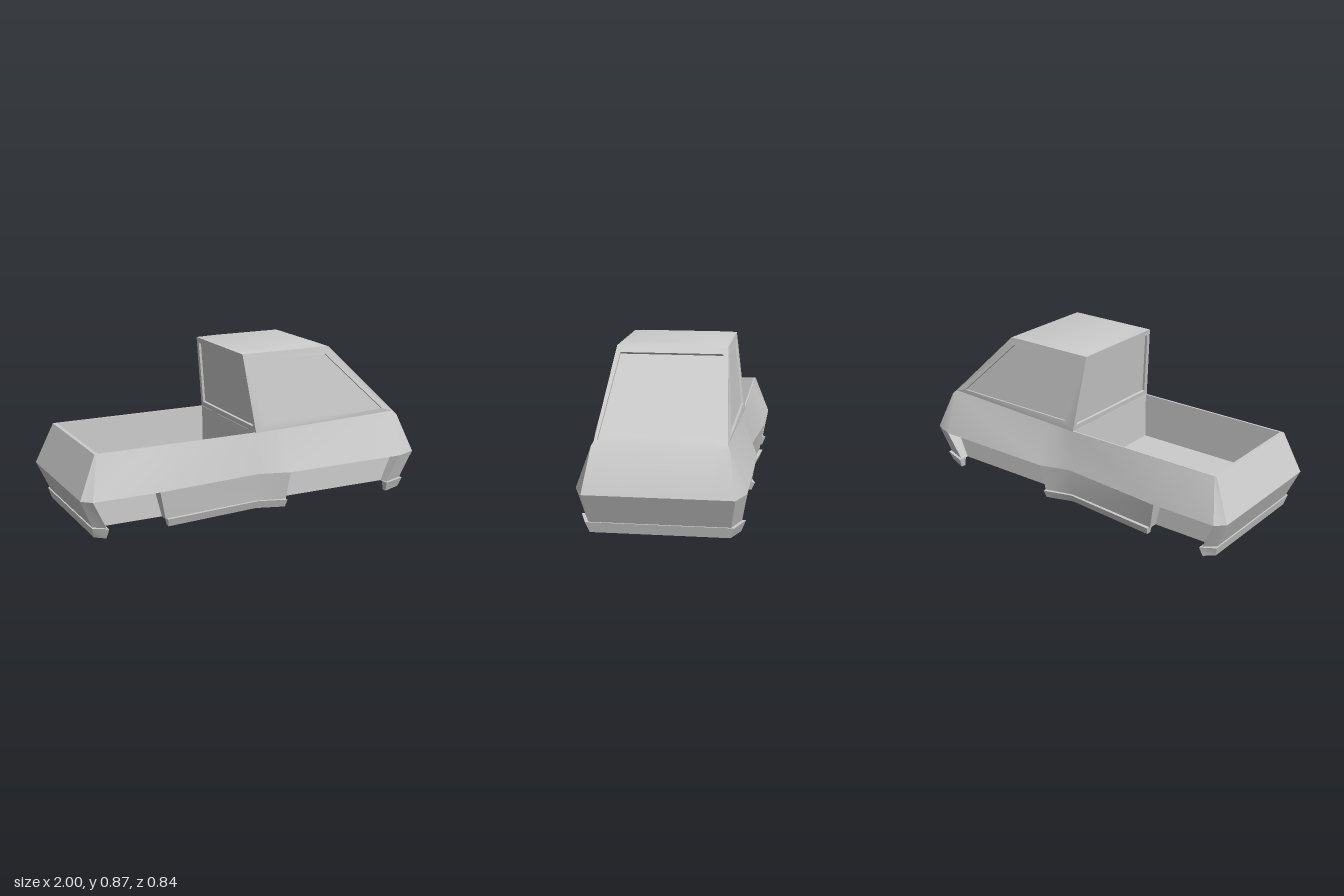
import * as THREE from 'three';
import { toCreasedNormals } from 'three/addons/utils/BufferGeometryUtils.js';

const material = new THREE.MeshStandardMaterial({ color: 0xcccccc, side: THREE.DoubleSide });
const flip = ([x, y, z]) => [x, y, -z];
const V = (p) => new THREE.Vector3(...p);

// Skin between rows of points; row order bottom to top with points running left to right faces outward
function loft(rows) {
  const out = [];
  const tri = (a, b, c) => {
    const n = V(b).sub(V(a)).cross(V(c).sub(V(a)));
    if (n.length() > 1e-7) out.push(...a, ...b, ...c);
  };
  for (let i = 0; i < rows.length - 1; i++) {
    for (let j = 0; j < rows[i].length - 1; j++) {
      const a = rows[i][j], b = rows[i][j + 1], c = rows[i + 1][j + 1], d = rows[i + 1][j];
      tri(a, b, c);
      tri(a, c, d);
    }
  }
  return out;
}

// Solid swept through four-cornered sections, with end caps
function sweep(sections) {
  const first = sections[0], last = sections[sections.length - 1];
  return [
    ...loft(sections.map((s) => [...s, s[0]])),
    ...loft([[first[0], first[3]], [first[1], first[2]]]),
    ...loft([[last[0], last[1]], [last[3], last[2]]]),
  ];
}

// Frame around a recessed pane; corners run anticlockwise seen from outside
function framedPane(outer, inner, depth) {
  const n = V(inner[1]).sub(V(inner[0])).cross(V(inner[3]).sub(V(inner[0]))).normalize();
  const pane = inner.map((p) => V(p).addScaledVector(n, -depth).toArray());
  const ring = (r) => [...r, r[0]];
  return {
    frame: loft([ring(outer), ring(inner), ring(pane)]),
    pane: loft([[pane[0], pane[1]], [pane[3], pane[2]]]),
  };
}

export function createModel() {
  const model = new THREE.Group();
  const add = (name, positions, crease = 0.5) => {
    const g = new THREE.BufferGeometry();
    g.setAttribute('position', new THREE.Float32BufferAttribute(positions, 3));
    const mesh = new THREE.Mesh(toCreasedNormals(g, crease), material);
    mesh.name = name;
    model.add(mesh);
  };
  const mirror = (positions) => {
    const out = [];
    for (let i = 0; i < positions.length; i += 9) {
      const p = positions.slice(i, i + 9);
      for (const k of [0, 6, 3]) out.push(p[k], p[k + 1], -p[k + 2]);
    }
    return out;
  };
  const addPair = (name, positions) => {
    add(name + 'Right', positions);
    add(name + 'Left', mirror(positions));
  };

  // Body sides from the belt line up to the shoulder
  const cowl = [0.885, 0.45, 0.325], noseTop = [0.905, 0.43, 0.335], noseBelt = [1, 0.21, 0.37];
  const tailTop = [-0.905, 0.43, 0.337], tailBelt = [-1, 0.21, 0.375];
  const belt = [tailBelt, [-0.95, 0.21, 0.42], [-0.6, 0.21, 0.42], [0, 0.21, 0.37],
    [0.17, 0.21, 0.42], [0.88, 0.21, 0.42], noseBelt];
  const shoulder = [tailTop, [-0.895, 0.43, 0.34], [-0.6, 0.43, 0.34], [0, 0.43, 0.34],
    [0.17, 0.434, 0.337], cowl, noseTop];
  addPair('bodySide', loft([belt, shoulder]));

  // Arch roofs, tucked in under the belt line
  addPair('archRoof', loft([belt.map(([x, y]) => [x * 0.96, y, 0.33]), belt]));

  // Nose and tailgate
  const across = (p, q) => [p, q, flip(q), flip(p)];
  add('nose', loft([
    across(noseBelt, [1, 0.21, 0.25]),
    across(noseTop, [0.905, 0.435, 0.25]),
    across(cowl, [0.859, 0.475, 0.25]),
  ]), 0.7);
  add('tailgate', loft([[flip(tailBelt), tailBelt], [flip(tailTop), tailTop]]));

  // Open load bed
  const rect = (x0, x1, y, z) => [[x0, y, z], [x1, y, z], [x1, y, -z], [x0, y, -z], [x0, y, z]];
  add('bedLiner', loft([rect(-0.905, 0, 0.43, 0.338), rect(-0.885, -0.002, 0.43, 0.328), rect(-0.885, -0.002, 0.17, 0.328)]));
  add('bedFloor', loft([[[-0.885, 0.17, 0.328], [0, 0.17, 0.328]], [[-0.885, 0.17, -0.328], [0, 0.17, -0.328]]]));

  // Cab: side windows, windscreen and rear window
  const roofBack = [-0.055, 0.85, 0.285], roofFront = [0.47, 0.85, 0.285], cabFoot = [0, 0.43, 0.34];
  const sideZ = (y) => 0.34 - (y - 0.43) * 0.131;
  const sideWindow = framedPane(
    [cabFoot, cowl, roofFront, roofBack],
    [[0.06, 0.475], [0.805, 0.475], [0.45, 0.81], [-0.01, 0.81]].map(([x, y]) => [x, y, sideZ(y)]), 0.012);
  addPair('cabSide', sideWindow.frame);
  addPair('sideWindow', sideWindow.pane);

  const screenPoint = (y, z) => [0.47 + (0.85 - y) * 1.0375, y, z];
  const screen = framedPane(
    [cowl, flip(cowl), flip(roofFront), roofFront],
    [screenPoint(0.455, 0.31), screenPoint(0.455, -0.31), screenPoint(0.82, -0.263), screenPoint(0.82, 0.263)], 0.014);
  add('windscreenFrame', screen.frame);
  add('windscreen', screen.pane);

  const rearPoint = (y, z) => [-0.055 + (0.85 - y) * 0.131, y, z];
  const rear = framedPane(
    [flip(cabFoot), cabFoot, roofBack, flip(roofBack)],
    [rearPoint(0.46, -0.31), rearPoint(0.46, 0.31), rearPoint(0.82, 0.265), rearPoint(0.82, -0.265)], 0.014);
  add('rearWindowFrame', rear.frame);
  add('rearWindow', rear.pane);

  // Roof with a shallow bevelled edge
  add('roof', [
    ...loft([rect(-0.055, 0.47, 0.85, 0.285), rect(0.03, 0.43, 0.865, 0.225)]),
    ...loft([[[0.03, 0.865, 0.225], [0.43, 0.865, 0.225]], [[0.03, 0.865, -0.225], [0.43, 0.865, -0.225]]]),
  ]);

  // Underbody tray, which also forms the arch inner walls
  add('underbody', loft([
    [[-0.97, 0.21, -0.34], [0.95, 0.21, -0.34]],
    [[-0.92, 0.05, -0.34], [0.91, 0.05, -0.34]],
    [[-0.92, 0.05, 0.34], [0.91, 0.05, 0.34]],
    [[-0.97, 0.21, 0.34], [0.95, 0.21, 0.34]],
  ]));

  // Section from outer top, outer bottom and inner points given as [x, z]
  const section = (yTop, yBottom, top, bottom, innerBottom, innerTop) => [
    [top[0], yTop, top[1]], [bottom[0], yBottom, bottom[1]],
    [innerBottom[0], yBottom, innerBottom[1]], [innerTop[0], yTop, innerTop[1]],
  ];

  // Sill panels between the arches, each with a protruding lip
  const sill = [[-0.59, -0.55, 0.42, 0.39], [0, 0, 0.37, 0.347], [0.17, 0.158, 0.42, 0.39]];
  addPair('sillPanel', sweep(sill.map(([xt, xb, zt, zb]) =>
    section(0.21, 0.05, [xt, zt], [xb, zb], [xb, 0.33], [xt, 0.33]))));
  const sillLip = [[-0.545, -0.535, 0.41], [0, 0, 0.362], [0.158, 0.152, 0.41]];
  addPair('sillLip', sweep(sillLip.map(([xt, xb, z]) =>
    section(0.054, 0.01, [xt, z], [xb, z - 0.018], [xb, z - 0.045], [xt, z - 0.045]))));

  // Front and rear valances wrapping the corners, with bumper lips
  const wrap = (name, s, archTop, archBottom) => {
    const a = section(0.21, 0.05, [s * archTop, 0.42], [s * archBottom, 0.39], [s * archBottom, 0.34], [s * archTop, 0.34]);
    const b = section(0.21, 0.05, [s, 0.372], [s * 0.93, 0.347], [s * 0.9, 0.325], [s * 0.95, 0.33]);
    const la = section(0.055, 0, [s * (archBottom - 0.005), 0.41], [s * (archBottom + 0.004), 0.388],
      [s * (archBottom + 0.004), 0.36], [s * (archBottom - 0.005), 0.36]);
    const lb = section(0.055, 0, [s * 0.94, 0.365], [s * 0.925, 0.345], [s * 0.895, 0.325], [s * 0.9, 0.33]);
    for (const [part, p, q] of [['Valance', a, b], ['BumperLip', la, lb]]) {
      const run = [p, q, q.map(flip), p.map(flip)];
      add(name + part, sweep(s > 0 ? run : run.reverse()));
    }
  };
  wrap('front', 1, 0.88, 0.81);
  wrap('rear', -1, 0.95, 0.87);

  return model;
}
